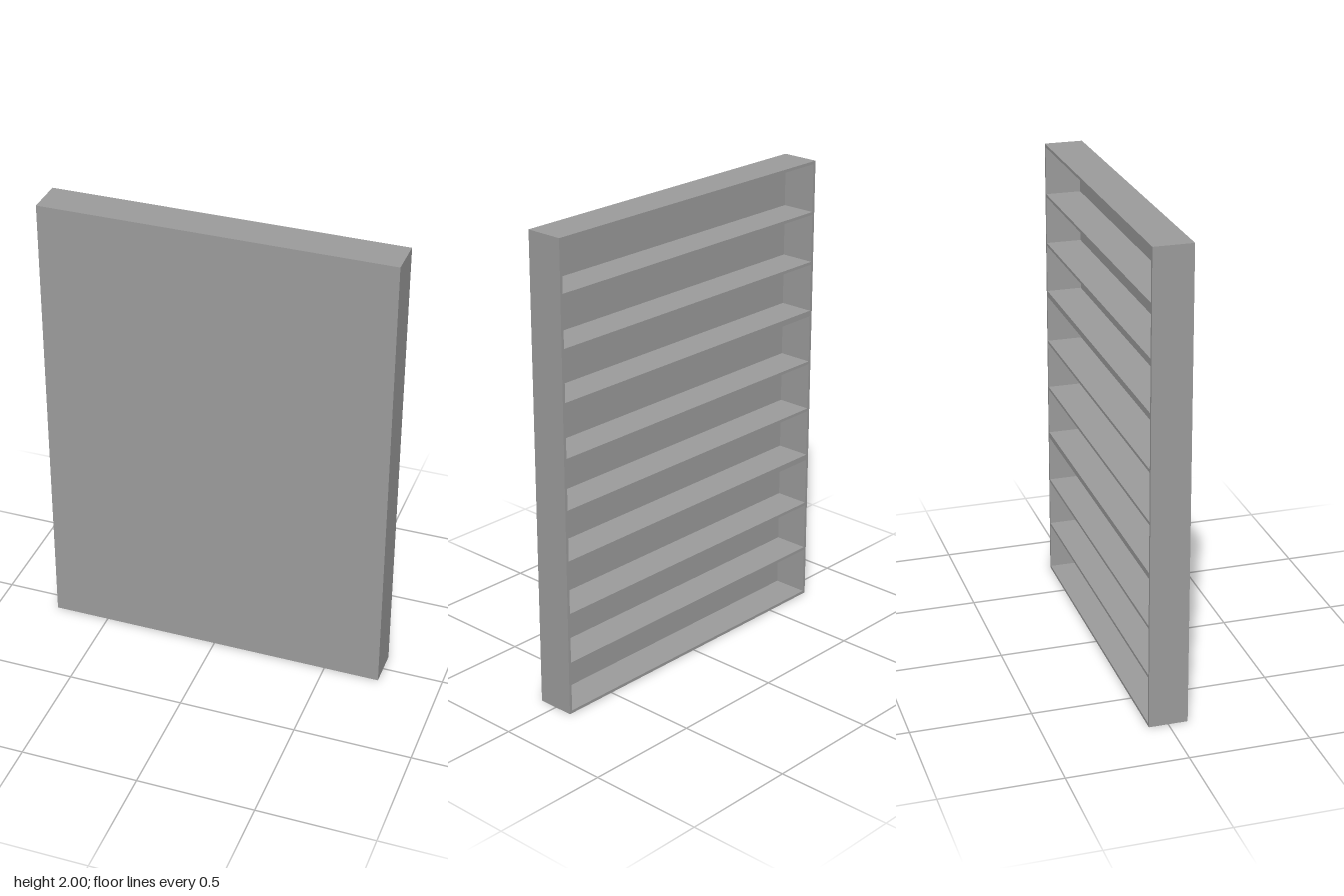
import * as THREE from 'three';

const W = 1.478, H = 2, D = 0.163, T = 0.0125; // overall size and board thickness
const MODULES = 3, BAYS = 3;

export function createModel() {
  const model = new THREE.Group();
  model.name = 'shelfUnit';
  const material = new THREE.MeshStandardMaterial({ color: 0x9c9c9c });

  const board = (name, w, h, d, x, y, z) => {
    const mesh = new THREE.Mesh(new THREE.BoxGeometry(w, h, d), material);
    mesh.name = name;
    mesh.position.set(x, y, z);
    model.add(mesh);
  };

  // Closed front and the two full-height sides
  board('frontPanel', W, H, T, 0, H / 2, D / 2 - T / 2);
  for (const [name, s] of [['leftSide', 1], ['rightSide', -1]]) {
    board(name, T, H, D - T, s * (W / 2 - T / 2), H / 2, -T / 2);
  }

  // Stacked modules, each with its own floor and top, so joints are doubled
  const moduleH = H / MODULES;
  const step = (moduleH - T) / BAYS;
  for (let m = 0; m < MODULES; m++) {
    for (let i = 0; i <= BAYS; i++) {
      const name = i === 0 ? 'moduleFloor' : i === BAYS ? 'moduleTop' : 'shelf';
      board(name, W - 2 * T, T, D - T, 0, m * moduleH + T / 2 + i * step, -T / 2);
    }
  }
  return model;
}
